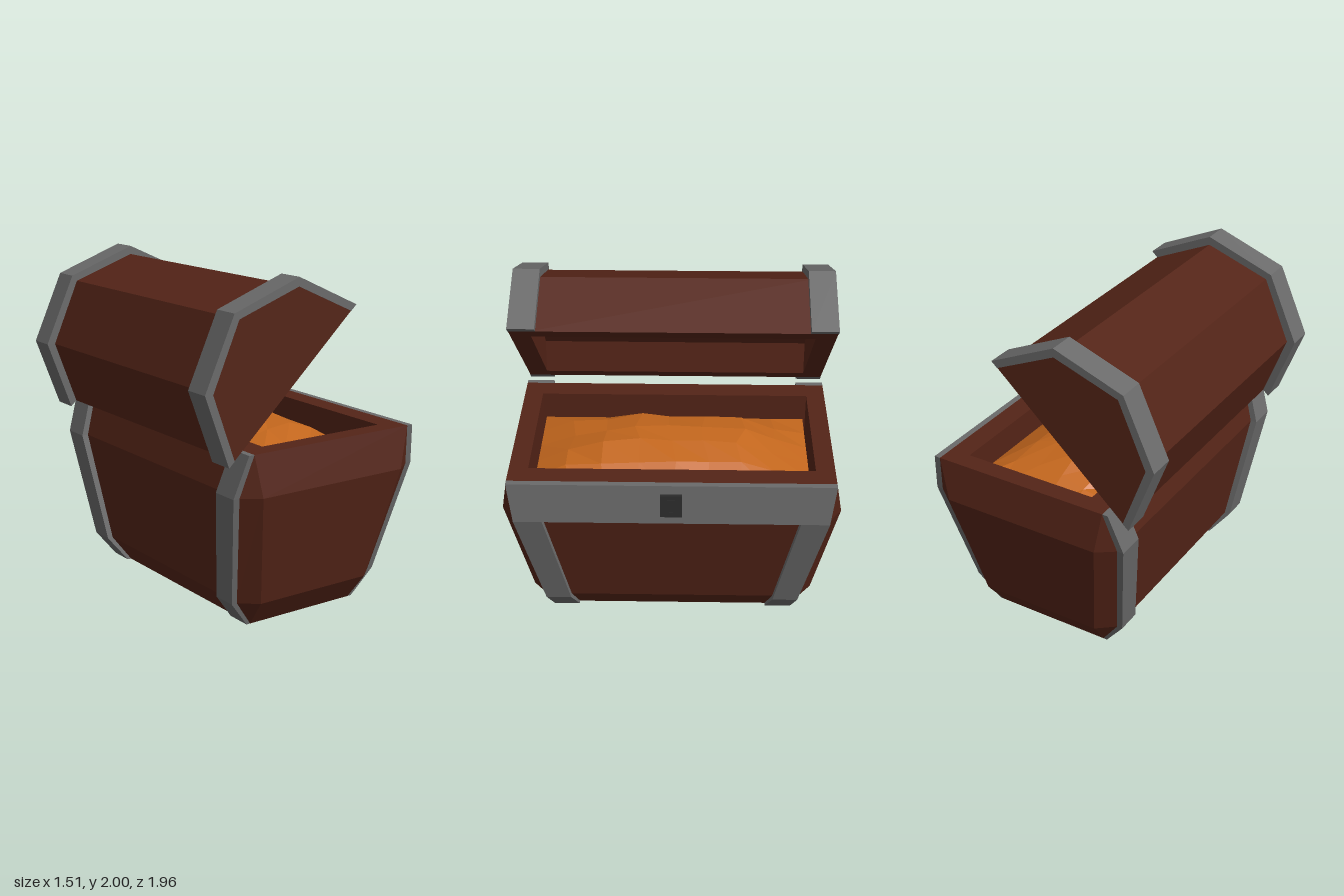
import * as THREE from 'three';

const material = (color) => new THREE.MeshStandardMaterial({ color, flatShading: true });
const wood = material(0x542417);
const metal = material(0x6a6a6a);
const darkMetal = material(0x2c2c2c);
const gold = material(0xc4671d);

function addMesh(parent, name, geometry, mat) {
  const mesh = new THREE.Mesh(geometry, mat);
  mesh.name = name;
  parent.add(mesh);
  return mesh;
}

// Flat-shaded skin through equal-sized rings of points, capped at both ends
function loft(rings) {
  const out = [];
  const n = rings[0].length;
  const tri = (a, b, c) => {
    const area = b.clone().sub(a).cross(c.clone().sub(a)).length();
    if (area > 1e-7) for (const p of [a, b, c]) out.push(p.x, p.y, p.z);
  };
  for (let r = 0; r < rings.length - 1; r++) {
    for (let i = 0; i < n; i++) {
      const j = (i + 1) % n, lo = rings[r], hi = rings[r + 1];
      tri(lo[i], lo[j], hi[j]);
      tri(lo[i], hi[j], hi[i]);
    }
  }
  const first = rings[0], last = rings[rings.length - 1];
  for (let i = 1; i < n - 1; i++) {
    tri(first[0], first[i + 1], first[i]);
    tri(last[0], last[i], last[i + 1]);
  }
  const geometry = new THREE.BufferGeometry();
  geometry.setAttribute('position', new THREE.Float32BufferAttribute(out, 3));
  geometry.computeVertexNormals();
  return geometry;
}

const ring = (y, pts) => pts.map(([x, z]) => new THREE.Vector3(x, y, z));
const rectRing = (y, x0, x1, z0, z1) => ring(y, [[x0, z1], [x1, z1], [x1, z0], [x0, z0]]);

// Eight-sided ring: long sides at xb / xf reach to zc, narrower ends at ze
const bodyRing = ({ y, xb, xf, zc, eb, ef, ze }) => ring(y, [
  [ef, ze], [xf, zc], [xf, -zc], [ef, -ze], [eb, -ze], [xb, -zc], [xb, zc], [eb, ze],
]);

// Body levels: wood (xb, xf), strap surface (sb, sf), strap inner edge (zi)
const levels = [
  { y: 0, xb: -0.305, xf: 0.425, zc: 0.73, eb: -0.305, ef: 0.425, ze: 0.73, sb: -0.33, sf: 0.45, zi: 0.575 },
  { y: 0.16, xb: -0.42, xf: 0.55, zc: 0.76, eb: -0.315, ef: 0.45, ze: 0.845, sb: -0.455, sf: 0.587, zi: 0.61 },
  { y: 0.83, xb: -0.51, xf: 0.695, zc: 0.905, eb: -0.405, ef: 0.59, ze: 0.98, sb: -0.55, sf: 0.735, zi: 0.74 },
  { y: 1.07, xb: -0.435, xf: 0.67, zc: 0.937, eb: -0.435, ef: 0.67, ze: 0.937, sb: -0.47, sf: 0.708, zi: 0.77 },
];

function buildBody(root) {
  const body = new THREE.Group();
  body.name = 'chestBody';
  root.add(body);

  // Hollow box: outer levels, rim, then down to the inner floor
  const hollow = (y) => bodyRing({ y, xb: -0.3, xf: 0.54, zc: 0.825, eb: -0.3, ef: 0.54, ze: 0.825 });
  addMesh(body, 'woodenBox', loft([...levels.map(bodyRing), hollow(1.07), hollow(0.8)]), wood);

  // Corner straps at front and back, on both ends
  for (const side of [1, -1]) {
    const z = (l) => (side > 0 ? [l.zi, l.zc] : [-l.zc, -l.zi]);
    addMesh(body, 'frontStrap', loft(levels.map((l) => rectRing(l.y, l.xf, l.sf, ...z(l)))), metal);
    addMesh(body, 'backStrap', loft(levels.map((l) => rectRing(l.y, l.sb, l.xb, ...z(l)))), metal);
  }

  // Band along the upper front edge
  addMesh(body, 'frontBand', loft(levels.slice(2).map((l) => rectRing(l.y, l.xf, l.sf, -l.zi, l.zi))), metal);

  // Lock plate with a small raised frame, tilted with the band
  const lock = new THREE.Group();
  lock.name = 'lock';
  lock.position.set(0.728, 0.952, 0);
  lock.rotation.z = 0.11;
  body.add(lock);
  addMesh(lock, 'lockPlate', new THREE.BoxGeometry(0.034, 0.135, 0.124), darkMetal);
  for (const side of [1, -1]) {
    const upright = addMesh(lock, 'keyholeSide', new THREE.BoxGeometry(0.012, 0.09, 0.01), darkMetal);
    upright.position.set(0.018, 0, side * 0.017);
    const bar = addMesh(lock, 'keyholeBar', new THREE.BoxGeometry(0.012, 0.01, 0.044), darkMetal);
    bar.position.set(0.018, side * 0.04, 0);
  }
}

function buildTreasure(root) {
  // Faceted mound, high in the middle and uneven
  let seed = 7;
  const rand = () => (seed = (seed * 16807) % 2147483647) / 2147483647 - 0.5;
  const w = 0.84, d = 1.62;
  const geometry = new THREE.PlaneGeometry(w, d, 5, 8).rotateX(-Math.PI / 2);
  const p = geometry.attributes.position;
  for (let i = 0; i < p.count; i++) {
    const a = Math.abs(p.getX(i)) / (w / 2), b = Math.abs(p.getZ(i)) / (d / 2);
    const inside = a < 0.99 && b < 0.99;
    const mound = (1 - a ** 2.2) * (1 - b ** 2.6);
    p.setY(i, 0.9 + 0.165 * mound + (inside ? rand() * 0.035 : 0));
    if (inside) {
      p.setX(i, p.getX(i) + rand() * 0.05);
      p.setZ(i, p.getZ(i) + rand() * 0.07);
    }
  }
  geometry.computeVertexNormals();
  addMesh(root, 'treasure', geometry, gold).position.x = 0.12;
}

// Symmetric five-point arch standing on its opening
const arch = (w0, w1, h1, h2) => [[-w0, 0], [w0, 0], [w1, h1], [0, h2], [-w1, h1]];
// Outer arch with an inner one cut away, open at the bottom
const shell = (outer, inner) => [outer[0], inner[0], inner[4], inner[3], inner[2], inner[1], ...outer.slice(1)];

function extrude(points, z0, z1) {
  const shape = new THREE.Shape(points.map(([x, y]) => new THREE.Vector2(x, y)));
  return new THREE.ExtrudeGeometry(shape, { depth: z1 - z0, bevelEnabled: false }).translate(0, 0, z0);
}

function buildLid(root) {
  const lid = new THREE.Group();
  lid.name = 'lid';
  lid.position.set(-0.1725, 1.42, 0);
  lid.rotation.z = 0.749;
  root.add(lid);

  const woodArch = arch(0.536, 0.38, 0.371, 0.536);
  const recess = arch(0.424, 0.3, 0.163, 0.232);
  const strapArch = arch(0.585, 0.416, 0.408, 0.582);

  addMesh(lid, 'lidShell', extrude(shell(woodArch, recess), -0.815, 0.815), wood);
  for (const side of [1, -1]) {
    const span = (a, b) => (side > 0 ? [a, b] : [-b, -a]);
    addMesh(lid, 'lidEnd', extrude(woodArch, ...span(0.815, 0.934)), wood);
    addMesh(lid, 'lidStrap', extrude(shell(strapArch, woodArch), ...span(0.78, 0.937)), metal);
  }
}

export function createModel() {
  const root = new THREE.Group();
  root.name = 'treasureChest';
  buildBody(root);
  buildTreasure(root);
  buildLid(root);
  return root;
}
